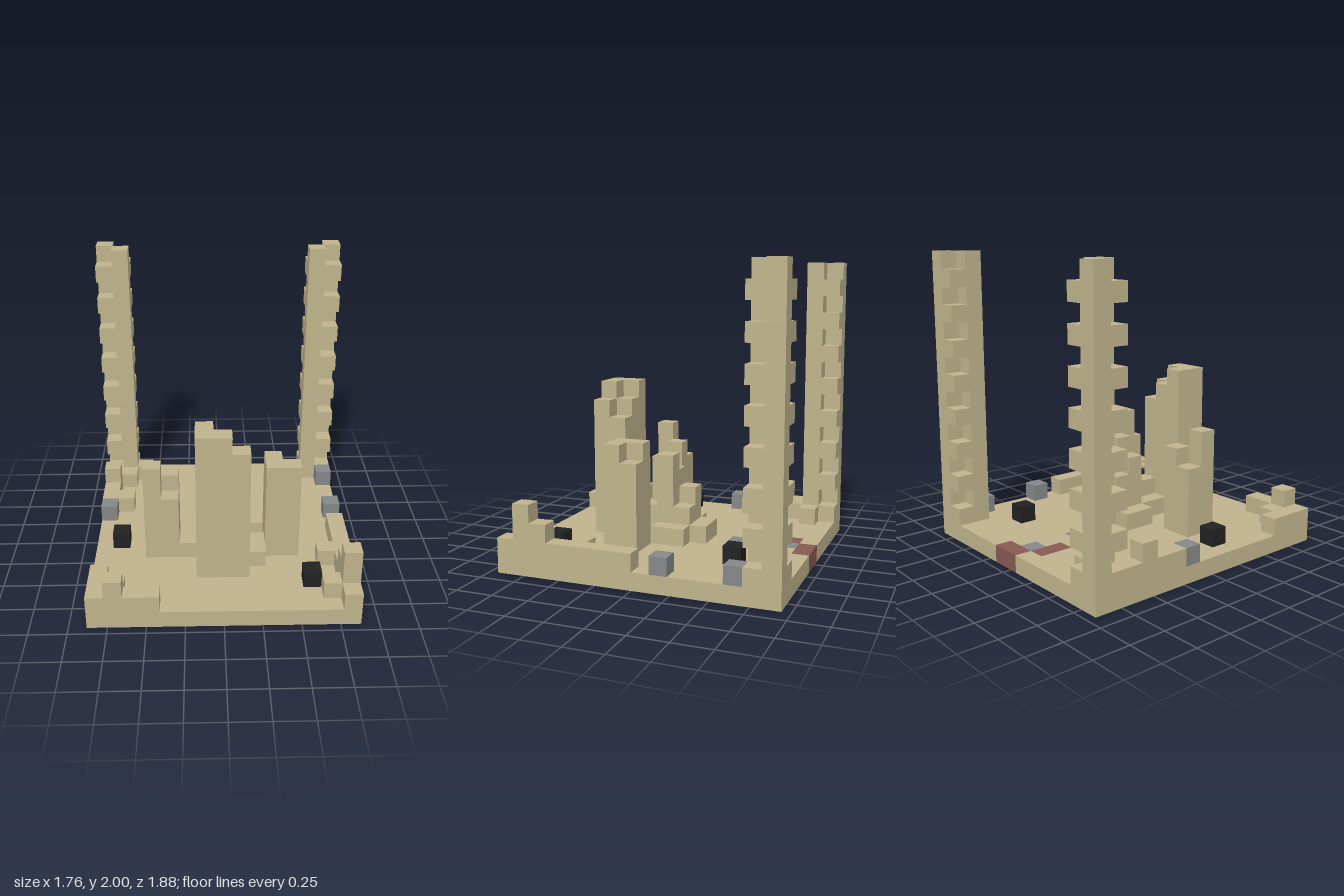
import * as THREE from 'three';

const U = 2 / 17, NX = 15, NZ = 16; // block size and plan of the site
const DIRS = [[1, 0, 0], [-1, 0, 0], [0, 1, 0], [0, -1, 0], [0, 0, 1], [0, 0, -1]];

export function createModel() {
  const mat = (name, color) => new THREE.MeshStandardMaterial({ name, color });
  const sand = mat('sandstone', 0xbfb48c), red = mat('redClay', 0x875a52);
  const grey = mat('greyStone', 0x868788), black = mat('blackCoal', 0x222222);

  const cells = new Map(); // "x,y,z" -> part
  const parts = [];
  const part = (name, material) => {
    const p = { name, material, list: [] };
    parts.push(p);
    return p;
  };
  const put = (p, x, y, z) => {
    const key = `${x},${y},${z}`;
    if (cells.has(key)) return;
    cells.set(key, p);
    p.list.push([x, y, z]);
  };
  // stacks of blocks on the floor: [x, z, total height in blocks]
  const stacks = (p, rows) => rows.forEach(([x, z, h]) => {
    for (let y = 1; y < h; y++) put(p, x, y, z);
  });

  // floor with inlaid patches
  const redPatch = part('redFloorPatch', red);
  [[7, 0], [8, 0], [6, 1], [6, 2]].forEach(([x, z]) => put(redPatch, x, 0, z));
  const greyPatch = part('greyFloorPatch', grey);
  [[7, 1], [7, 4]].forEach(([x, z]) => put(greyPatch, x, 0, z));
  const floor = part('floor', sand);
  for (let x = 0; x < NX; x++) for (let z = 0; z < NZ; z++) put(floor, x, 0, z);

  // loose blocks
  stacks(part('greyBlocks', grey), [[14, 2, 2], [14, 6, 2], [0, 6, 2]]);
  stacks(part('blackBlocks', black), [[11, 3, 2], [1, 9, 2], [12, 13, 2]]);

  // tall back corner pillars: two diagonal shafts joined by alternating teeth
  for (const side of [0, 1]) {
    const p = part(side ? 'leftPillar' : 'rightPillar', sand);
    const fx = (i) => (side ? NX - 1 - i : i);
    for (let y = 1; y < 17; y++) {
      put(p, fx(0), y, 0);
      put(p, fx(1), y, 1);
      if (y % 2) {
        put(p, fx(1), y, 0);
        put(p, fx(0), y, 1);
      }
    }
  }

  // ruined outer walls
  stacks(part('rightBackRubble', sand), [
    [2, 1, 2], [0, 2, 2], [1, 2, 2], [0, 3, 3], [0, 4, 2], [0, 5, 2], [1, 5, 2],
  ]);
  stacks(part('rightFrontRubble', sand), [
    [0, 13, 2], [0, 14, 2], [1, 14, 2], [0, 15, 2], [1, 15, 3], [2, 15, 2], [3, 15, 2],
  ]);
  stacks(part('leftWall', sand), [
    [14, 8, 2], [14, 9, 2], [14, 10, 2], [14, 11, 2], [13, 11, 2], [14, 12, 2],
    [14, 13, 3], [14, 14, 4], [13, 14, 2], [14, 15, 2],
  ]);

  // broken towers in the middle
  stacks(part('frontTower', sand), [
    [6, 12, 10], [7, 12, 10], [8, 12, 9], [6, 11, 10], [7, 11, 9], [8, 11, 8], [9, 11, 2],
  ]);
  stacks(part('leftTower', sand), [[10, 10, 7], [11, 10, 7], [10, 9, 7], [11, 9, 6]]);
  stacks(part('rightTower', sand), [[3, 10, 7], [4, 10, 5], [4, 9, 6], [3, 9, 5], [5, 10, 2]]);
  stacks(part('backTower', sand), [
    [8, 8, 6], [7, 8, 5], [7, 7, 4], [8, 7, 3], [9, 7, 2], [9, 8, 2],
    [6, 7, 2], [6, 8, 2], [7, 6, 2], [8, 6, 2],
  ]);
  stacks(part('innerRubble', sand), [[7, 9, 2], [7, 10, 2], [8, 9, 3], [8, 10, 3], [9, 10, 2]]);

  // one mesh per part, made of the exposed block faces
  const group = new THREE.Group();
  group.name = 'ruins';
  for (const p of parts) {
    const pos = [], nor = [];
    for (const [x, y, z] of p.list) {
      const c = new THREE.Vector3((x + 0.5 - NX / 2) * U, (y + 0.5) * U, (z + 0.5 - NZ / 2) * U);
      for (const d of DIRS) {
        if (cells.has(`${x + d[0]},${y + d[1]},${z + d[2]}`)) continue;
        const n = new THREE.Vector3(...d);
        const a = new THREE.Vector3(Math.abs(d[1]), Math.abs(d[2]), Math.abs(d[0]));
        const b = n.clone().cross(a);
        for (const [s, t] of [[-1, -1], [1, -1], [1, 1], [-1, -1], [1, 1], [-1, 1]]) {
          const v = c.clone().addScaledVector(n, U / 2)
            .addScaledVector(a, s * U / 2).addScaledVector(b, t * U / 2);
          pos.push(v.x, v.y, v.z);
          nor.push(...d);
        }
      }
    }
    const geo = new THREE.BufferGeometry();
    geo.setAttribute('position', new THREE.Float32BufferAttribute(pos, 3));
    geo.setAttribute('normal', new THREE.Float32BufferAttribute(nor, 3));
    const mesh = new THREE.Mesh(geo, p.material);
    mesh.name = p.name;
    group.add(mesh);
  }
  return group;
}
